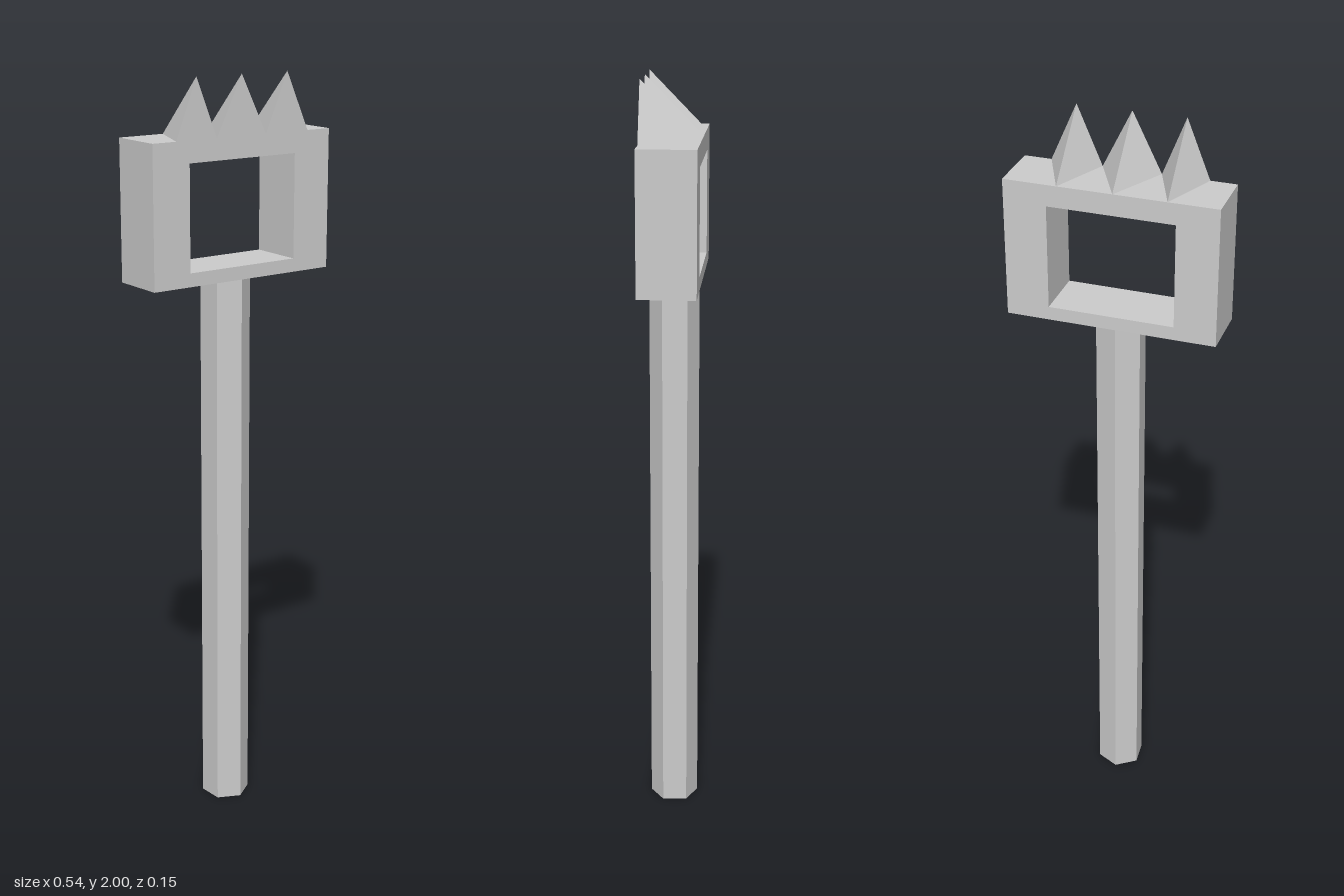
import * as THREE from 'three';

const DEPTH = 0.148;
const FRAME_TOP = 1.85;

const material = new THREE.MeshStandardMaterial({ color: 0xcccccc, flatShading: true });

function addMesh(group, name, geometry) {
  const mesh = new THREE.Mesh(geometry, material);
  mesh.name = name;
  group.add(mesh);
  return mesh;
}

function rectangle(PathType, x0, y0, x1, y1) {
  return new PathType([
    new THREE.Vector2(x0, y0), new THREE.Vector2(x1, y0),
    new THREE.Vector2(x1, y1), new THREE.Vector2(x0, y1),
  ]);
}

// Spike: upright front face, with a ridge sloping down to the back edge
function spikeGeometry(left, peak, right) {
  const front = DEPTH / 2;
  const a = [left, FRAME_TOP, front];
  const b = [right, FRAME_TOP, front];
  const tip = [peak, 2, front];
  const back = [peak, FRAME_TOP, -front];
  const faces = [a, b, tip, b, back, tip, back, a, tip, a, back, b];
  const geometry = new THREE.BufferGeometry();
  geometry.setAttribute('position', new THREE.Float32BufferAttribute(faces.flat(), 3));
  geometry.computeVertexNormals();
  return geometry;
}

export function createModel() {
  const model = new THREE.Group();
  model.name = 'spikedStaff';

  // Six-sided shaft, turned slightly about its axis
  const shaftHeight = 1.49;
  const shaft = addMesh(model, 'shaft',
    new THREE.CylinderGeometry(0.065, 0.065, shaftHeight, 6, 1, false, THREE.MathUtils.degToRad(5)));
  shaft.position.set(-0.004, shaftHeight / 2, 0);

  // Rectangular head with a window through it
  const outline = rectangle(THREE.Shape, -0.27, 1.49, 0.27, FRAME_TOP);
  outline.holes.push(rectangle(THREE.Path, -0.163, 1.525, 0.16, 1.795));
  const frame = new THREE.ExtrudeGeometry(outline, { depth: DEPTH, bevelEnabled: false });
  frame.translate(0, 0, -DEPTH / 2);
  addMesh(model, 'headFrame', frame);

  // Row of three spikes: left foot, peak, right foot
  const spikes = new THREE.Group();
  spikes.name = 'spikes';
  const rows = [[-0.202, -0.142, -0.082], [-0.082, -0.007, 0.068], [0.068, 0.133, 0.2]];
  for (const row of rows) addMesh(spikes, 'spike', spikeGeometry(...row));
  model.add(spikes);

  return model;
}
